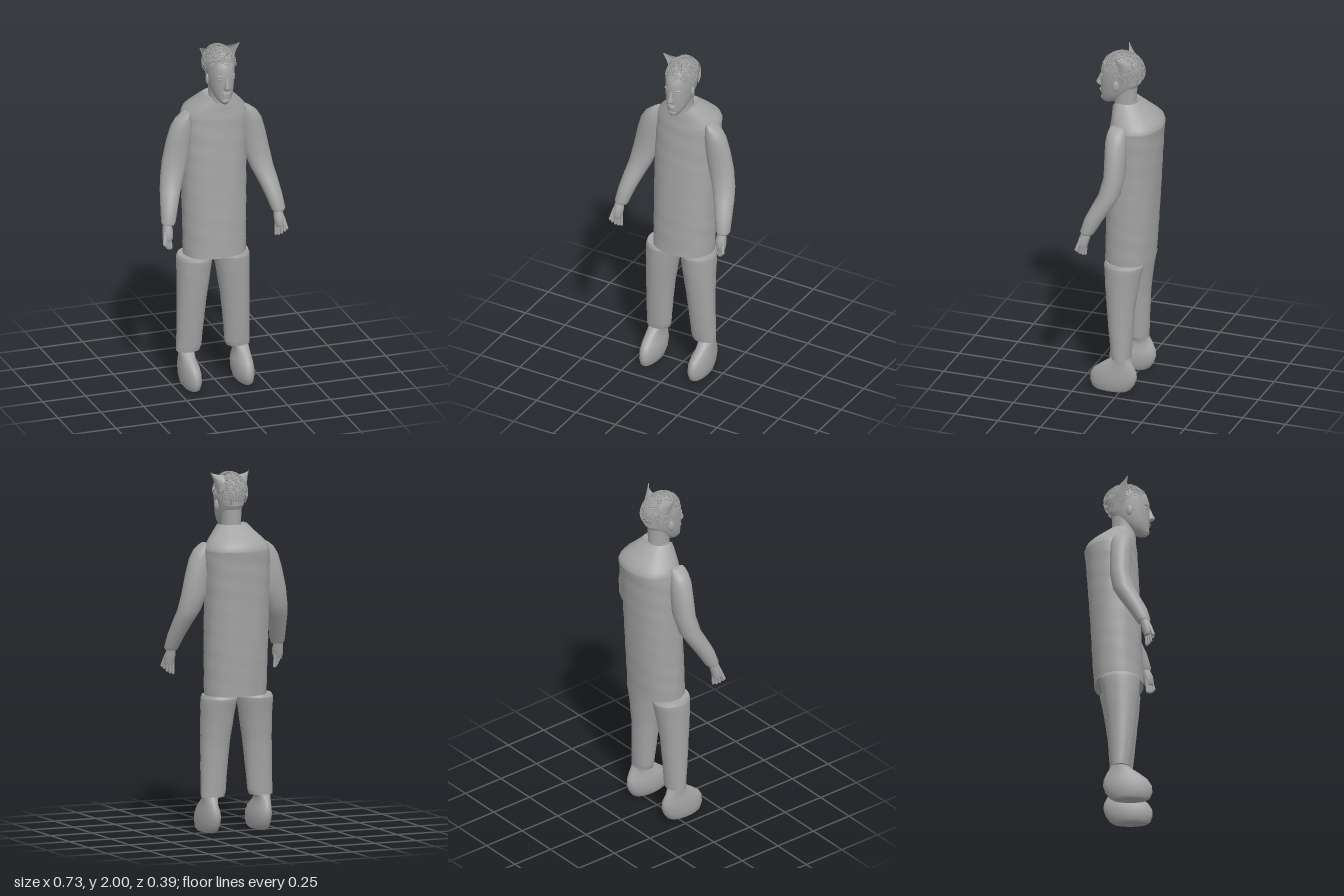
import * as THREE from 'three';

const grey = new THREE.MeshStandardMaterial({ color: 0xa4a4a4, side: THREE.DoubleSide });
grey.name = 'plain grey';

function add(parent, name, geometry) {
  const mesh = new THREE.Mesh(geometry, grey);
  mesh.name = name;
  parent.add(mesh);
  return mesh;
}

// Closed skin over level cross-sections [y, x0, x1, zBack, zFront], listed bottom to top.
// power squares off the ellipse, dip lowers the front of the top ring, wrinkle adds soft folds.
function loft(sections, { n = 32, power = 1, dip = 0, wrinkle = 0 } = {}) {
  const pos = [], index = [], last = sections.length - 1;
  const soft = (v) => Math.sign(v) * Math.abs(v) ** power;
  const ring = ([y, x0, x1, z0, z1], row) => {
    for (let j = 0; j < n; j++) {
      const a = (j / n) * Math.PI * 2;
      const k = 1 + wrinkle * Math.sin(a * 5 + y * 23) * Math.sin(y * 31 - a * 3);
      const drop = row === last ? dip * Math.max(0, Math.cos(a)) ** 4 : 0;
      pos.push((x0 + x1) / 2 + ((x1 - x0) / 2) * k * soft(Math.sin(a)), y - drop,
        (z0 + z1) / 2 + ((z1 - z0) / 2) * k * soft(Math.cos(a)));
    }
  };
  sections.forEach(ring);
  for (let i = 0; i < last; i++) for (let j = 0; j < n; j++) {
    const a = i * n + j, b = i * n + (j + 1) % n;
    index.push(a, b, b + n, a, b + n, a + n);
  }
  for (const [row, up] of [[0, false], [last, true]]) {
    const start = pos.length / 3, [y, x0, x1, z0, z1] = sections[row];
    ring(sections[row], row);
    pos.push((x0 + x1) / 2, y - (up ? dip * 0.6 : 0), (z0 + z1) / 2);
    for (let j = 0; j < n; j++) {
      const a = start + j, b = start + (j + 1) % n;
      index.push(...(up ? [a, b, start + n] : [b, a, start + n]));
    }
  }
  const g = new THREE.BufferGeometry();
  g.setAttribute('position', new THREE.Float32BufferAttribute(pos, 3));
  g.setIndex(index);
  g.computeVertexNormals();
  return g;
}

// Insert smooth in-between sections
function refine(sections, count) {
  const out = [];
  for (let i = 0; i < sections.length - 1; i++) for (let k = 0; k < count; k++) {
    out.push(sections[i].map((v, c) => THREE.MathUtils.lerp(v, sections[i + 1][c], k / count)));
  }
  return [...out, sections.at(-1)];
}

// Place a left-side section list on side s, about the line x = mid
const sided = (sections, s, mid) => sections.map(([y, x0, x1, z0, z1]) =>
  s > 0 ? [y, x0 + mid, x1 + mid, z0, z1] : [y, mid - x1, mid - x0, z0, z1]);

// Rounded rod between two points
function rod(parent, name, a, b, r) {
  const p = new THREE.Vector3(...a), q = new THREE.Vector3(...b);
  const mesh = add(parent, name, new THREE.CapsuleGeometry(r, p.distanceTo(q), 4, 10));
  mesh.position.copy(p).add(q).multiplyScalar(0.5);
  mesh.quaternion.setFromUnitVectors(new THREE.Vector3(0, 1, 0), q.sub(p).normalize());
}

function blob(parent, name, p, scale) {
  const mesh = add(parent, name, new THREE.SphereGeometry(1, 16, 12));
  mesh.position.set(...p);
  mesh.scale.set(...scale);
  return mesh;
}

function limbs(model, s) {
  const side = s > 0 ? 'left' : 'right';
  add(model, side + 'Leg', loft(refine(sided([
    [0.2, 0.078, 0.212, -0.05, 0.055], [0.225, 0.07, 0.212, -0.052, 0.06],
    [0.35, 0.06, 0.21, -0.058, 0.075], [0.5, 0.045, 0.208, -0.068, 0.09],
    [0.65, 0.022, 0.208, -0.09, 0.105], [0.745, 0.008, 0.208, -0.11, 0.112],
    [0.765, 0.016, 0.2, -0.1, 0.105],
  ], s, -0.01), 4), { wrinkle: 0.012 }));
  add(model, side + 'Shoe', loft(sided([
    [0.002, 0.12, 0.19, -0.035, 0.15], [0.015, 0.108, 0.2, -0.055, 0.168],
    [0.05, 0.1, 0.206, -0.08, 0.18], [0.09, 0.1, 0.207, -0.092, 0.177],
    [0.125, 0.106, 0.204, -0.088, 0.155], [0.16, 0.118, 0.2, -0.072, 0.11],
    [0.19, 0.115, 0.2, -0.055, 0.065], [0.21, 0.1, 0.202, -0.045, 0.045],
  ], s, -0.007)));
  add(model, side + 'Sleeve', loft(sided([
    [1.01, 0.287, 0.352, 0.1, 0.163], [1.025, 0.28, 0.36, 0.088, 0.171],
    [1.1, 0.256, 0.352, 0.045, 0.15], [1.18, 0.225, 0.34, -0.005, 0.112],
    [1.24, 0.198, 0.328, -0.036, 0.083], [1.34, 0.16, 0.311, -0.053, 0.062],
    [1.45, 0.143, 0.287, -0.054, 0.065], [1.53, 0.14, 0.263, -0.05, 0.067],
    [1.575, 0.144, 0.235, -0.042, 0.062], [1.6, 0.152, 0.202, -0.033, 0.055],
    [1.61, 0.158, 0.182, -0.026, 0.048],
  ], s, 0.006)));

  // Hand with four fingers and a thumb
  const hand = new THREE.Group();
  hand.name = side + 'Hand';
  model.add(hand);
  add(hand, 'palm', loft(sided([
    [0.925, 0.305, 0.352, 0.135, 0.18], [0.945, 0.298, 0.357, 0.128, 0.186],
    [0.98, 0.295, 0.354, 0.118, 0.18], [1.025, 0.3, 0.345, 0.108, 0.16],
  ], s, 0), { n: 16 }));
  for (let i = 0; i < 4; i++) {
    const x = 0.308 + i * 0.013, z = 0.145 + i * 0.011;
    rod(hand, 'finger', [s * x, 0.945, z], [s * (x - 0.002), 0.878 + i * i * 0.003, z + 0.005], 0.0085);
  }
  rod(hand, 'thumb', [s * 0.343, 0.975, 0.165], [s * 0.356, 0.918, 0.185], 0.01);
}

function makeHead() {
  const head = new THREE.Group();
  head.name = 'head';
  const cx = 0.015;
  const rows = [
    [1.685, 0.018, 0.1, 0.148], [1.695, 0.03, 0.075, 0.157], [1.72, 0.048, 0.03, 0.161],
    [1.755, 0.061, -0.02, 0.163], [1.8, 0.07, -0.05, 0.164], [1.84, 0.074, -0.066, 0.164],
    [1.88, 0.077, -0.074, 0.163], [1.915, 0.076, -0.07, 0.152], [1.945, 0.067, -0.052, 0.13],
    [1.965, 0.048, -0.022, 0.1], [1.975, 0.022, 0.015, 0.065],
  ];
  add(head, 'skull', loft(rows.map(([y, r, z0, z1]) => [y, cx - r, cx + r, z0, z1]), { power: 0.95 }));
  add(head, 'neck', loft([[1.6, -0.042, 0.072, -0.045, 0.085], [1.7, -0.038, 0.068, -0.04, 0.085],
    [1.8, -0.042, 0.072, -0.045, 0.085]]));
  add(head, 'nose', loft([[1.774, 0.004, 0.026, 0.15, 0.175], [1.782, -0.004, 0.034, 0.145, 0.187],
    [1.792, -0.001, 0.031, 0.145, 0.194], [1.815, 0.006, 0.024, 0.145, 0.182],
    [1.85, 0.009, 0.021, 0.145, 0.167]], { n: 16 }));
  blob(head, 'upperLip', [cx, 1.755, 0.16], [0.024, 0.006, 0.011]);
  blob(head, 'lowerLip', [cx, 1.745, 0.158], [0.02, 0.006, 0.011]);
  blob(head, 'chin', [cx, 1.708, 0.15], [0.025, 0.017, 0.013]);
  for (const s of [-1, 1]) {
    blob(head, 'eye', [cx + s * 0.031, 1.835, 0.143], [0.015, 0.008, 0.011]);
    blob(head, 'brow', [cx + s * 0.032, 1.854, 0.145], [0.022, 0.006, 0.012]).rotation.y = s * 0.35;
    blob(head, 'ear', [cx + s * 0.074, 1.81, 0.052], [0.01, 0.031, 0.018]).rotation.y = s * 0.3;
  }
  return head;
}

function makeHair() {
  const hair = new THREE.Group();
  hair.name = 'hair';
  // Sheet wrapped around the back of the head, flaring to two raised corners
  const rows = [[1.815, 0.07, 0.03, 0.095, 0], [1.89, 0.084, 0.03, 0.095, 0],
    [1.955, 0.1, 0.038, 0.08, 0.008], [2.0, 0.119, 0.046, 0.03, 0.024]];
  const sheet = new THREE.PlaneGeometry(1, 1, 24, 3), p = sheet.attributes.position;
  for (let i = 0; i < p.count; i++) {
    const a = p.getX(i) * Math.PI;
    const [y, w, z, depth, dip] = rows[Math.round((p.getY(i) + 0.5) * 3)];
    p.setXYZ(i, 0.015 + w * Math.sin(a), y - dip * Math.cos(a), z - depth * Math.cos(a));
  }
  sheet.computeVertexNormals();
  add(hair, 'hairBand', sheet);

  // Loose crossing strands over the skull, kept above the hairline
  let seed = 7;
  const rand = () => (seed = (seed * 16807) % 2147483647) / 2147483647;
  const unit = () => new THREE.Vector3(rand() - 0.5, rand() - 0.5, rand() - 0.5).normalize();
  for (let made = 0, tries = 0; made < 240 && tries < 6000; tries++) {
    const d = unit(), t = unit().cross(d).normalize(), arc = 0.6 + rand() * 0.7, lift = 0.96 + rand() * 0.06;
    const dirs = [0, 0.25, 0.5, 0.75, 1].map((k) => d.clone().multiplyScalar(Math.cos(k * arc))
      .addScaledVector(t, Math.sin(k * arc)));
    if (dirs.some((v) => v.y < -0.3 + 0.5 * v.z)) continue;
    const curve = new THREE.CatmullRomCurve3(dirs.map((v) => new THREE.Vector3(
      0.015 + v.x * 0.09 * lift, 1.885 + v.y * 0.108 * lift, 0.034 + v.z * 0.122 * lift)));
    add(hair, 'strand', new THREE.TubeGeometry(curve, 8, 0.0018, 4));
    made++;
  }
  return hair;
}

export function createModel() {
  const model = new THREE.Group();
  model.name = 'standingFigure';
  add(model, 'coat', loft([
    ...refine([[0.765, -0.175, 0.18, -0.14, 0.13], [1.0, -0.176, 0.184, -0.155, 0.123],
      [1.3, -0.177, 0.188, -0.172, 0.11], [1.5, -0.177, 0.197, -0.185, 0.1],
      [1.58, -0.173, 0.2, -0.193, 0.095]], 8),
    [1.605, -0.163, 0.188, -0.185, 0.092], [1.63, -0.142, 0.167, -0.16, 0.09],
    [1.67, -0.104, 0.13, -0.112, 0.088], [1.71, -0.07, 0.095, -0.06, 0.086],
  ], { n: 48, power: 0.92, dip: 0.06, wrinkle: 0.012 }));
  for (const s of [-1, 1]) limbs(model, s);
  model.add(makeHead(), makeHair());
  return model;
}
